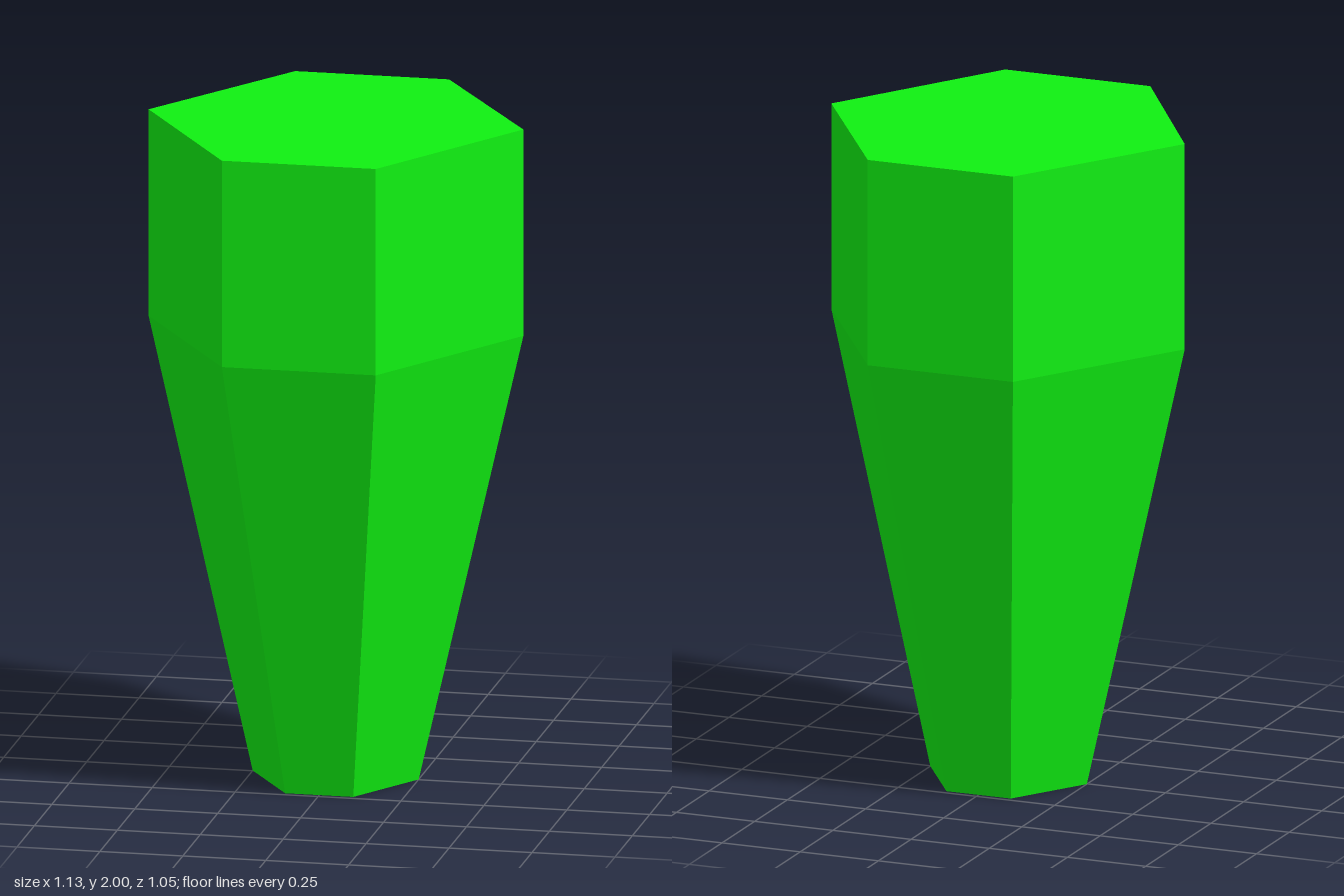
import * as THREE from 'three';

// Six-sided peg: straight upper block above a tapering shank.
const LEVELS = [
  { y: 0, scale: 0.443 },
  { y: 1.37, scale: 1 },
  { y: 2, scale: 1 },
];

// Half widths of the hexagon at its side points and its front and back edges
const TIP_X = 0.565, TIP_Z = -0.008, EDGE_X = 0.232, EDGE_Z = 0.526;

function pegGeometry() {
  const geometry = new THREE.CylinderGeometry(1, 1, 2, 6, 2, false, Math.PI / 2);
  const pos = geometry.attributes.position;
  for (let i = 0; i < pos.count; i++) {
    const x = pos.getX(i), z = pos.getZ(i);
    const { y, scale } = LEVELS[Math.round(pos.getY(i)) + 1];
    let px = 0, pz = 0; // cap centres stay on the axis
    if (Math.abs(x) > 0.9) {
      px = Math.sign(x) * TIP_X;
      pz = TIP_Z;
    } else if (Math.abs(x) > 0.1) {
      px = Math.sign(x) * EDGE_X;
      pz = Math.sign(z) * EDGE_Z;
    }
    pos.setXYZ(i, px * scale, y, pz * scale);
  }
  geometry.computeVertexNormals();
  return geometry;
}

export function createModel() {
  const group = new THREE.Group();
  group.name = 'taperedPeg';
  const green = new THREE.MeshStandardMaterial({ color: 0x10f012, flatShading: true });
  const body = new THREE.Mesh(pegGeometry(), green);
  body.name = 'hexagonalBody';
  group.add(body);
  return group;
}
